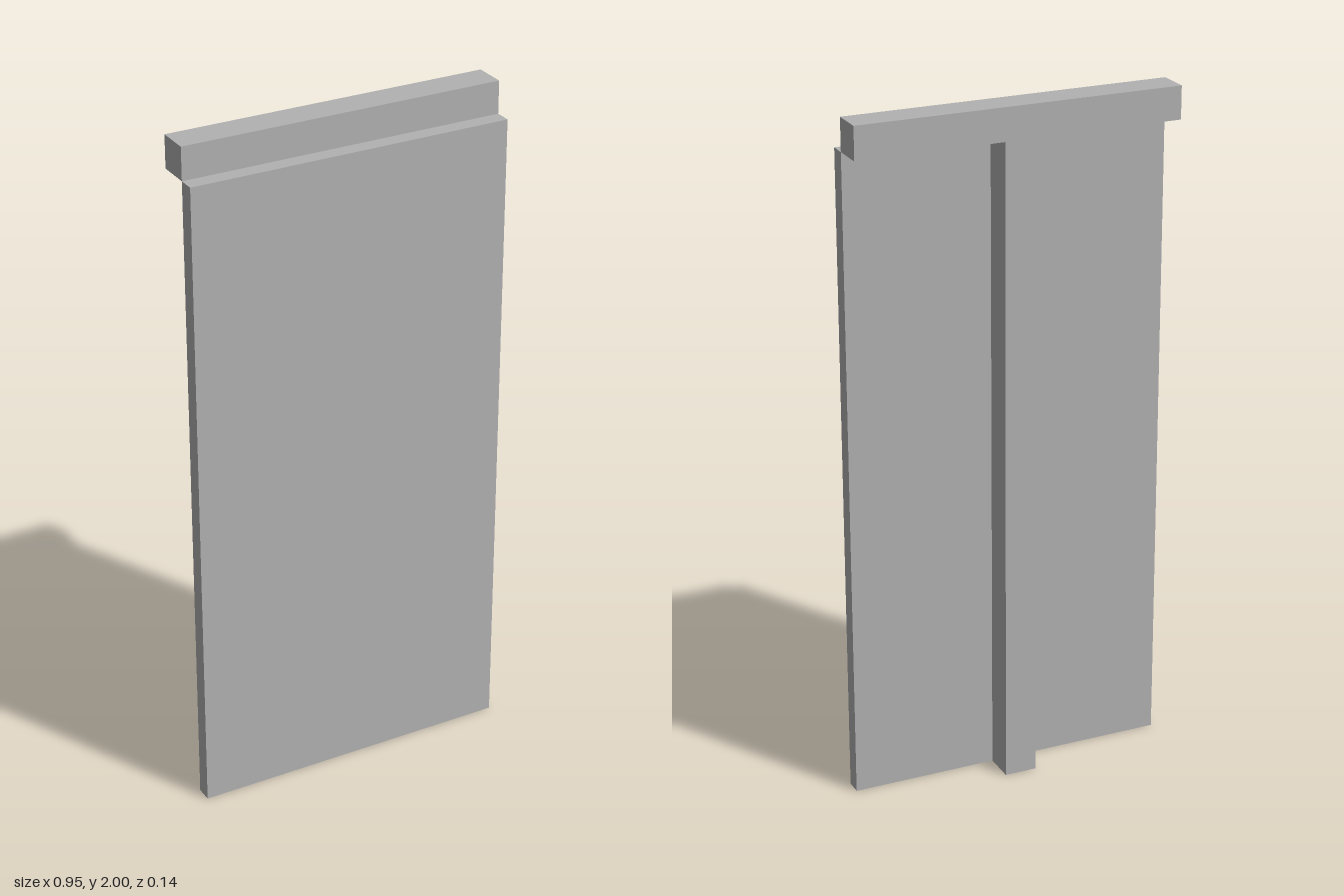
import * as THREE from 'three';

export function createModel() {
  const model = new THREE.Group();
  const grey = new THREE.MeshStandardMaterial({ color: 0xb2b2b2 });
  grey.name = 'plain grey';

  // Box given by its minimum and maximum corners
  function addBox(name, min, max) {
    const size = max.map((v, i) => v - min[i]);
    const mesh = new THREE.Mesh(new THREE.BoxGeometry(...size), grey);
    mesh.position.set(...max.map((v, i) => (v + min[i]) / 2));
    mesh.name = name;
    model.add(mesh);
  }

  const halfWidth = 0.476, front = 0.0714, back = -0.0714, joint = 0.0238;
  const panelTop = 1.905, halfPost = 0.0476;

  // Thin board at the front
  addBox('panel', [-halfWidth, 0, joint], [halfWidth, panelTop, front]);
  // Full-width bar along the top, behind the board
  addBox('topRail', [-halfWidth, panelTop, back], [halfWidth, 2, joint]);
  // Upright at the centre of the back
  addBox('backPost', [-halfPost, 0, back], [halfPost, panelTop, joint]);

  return model;
}
